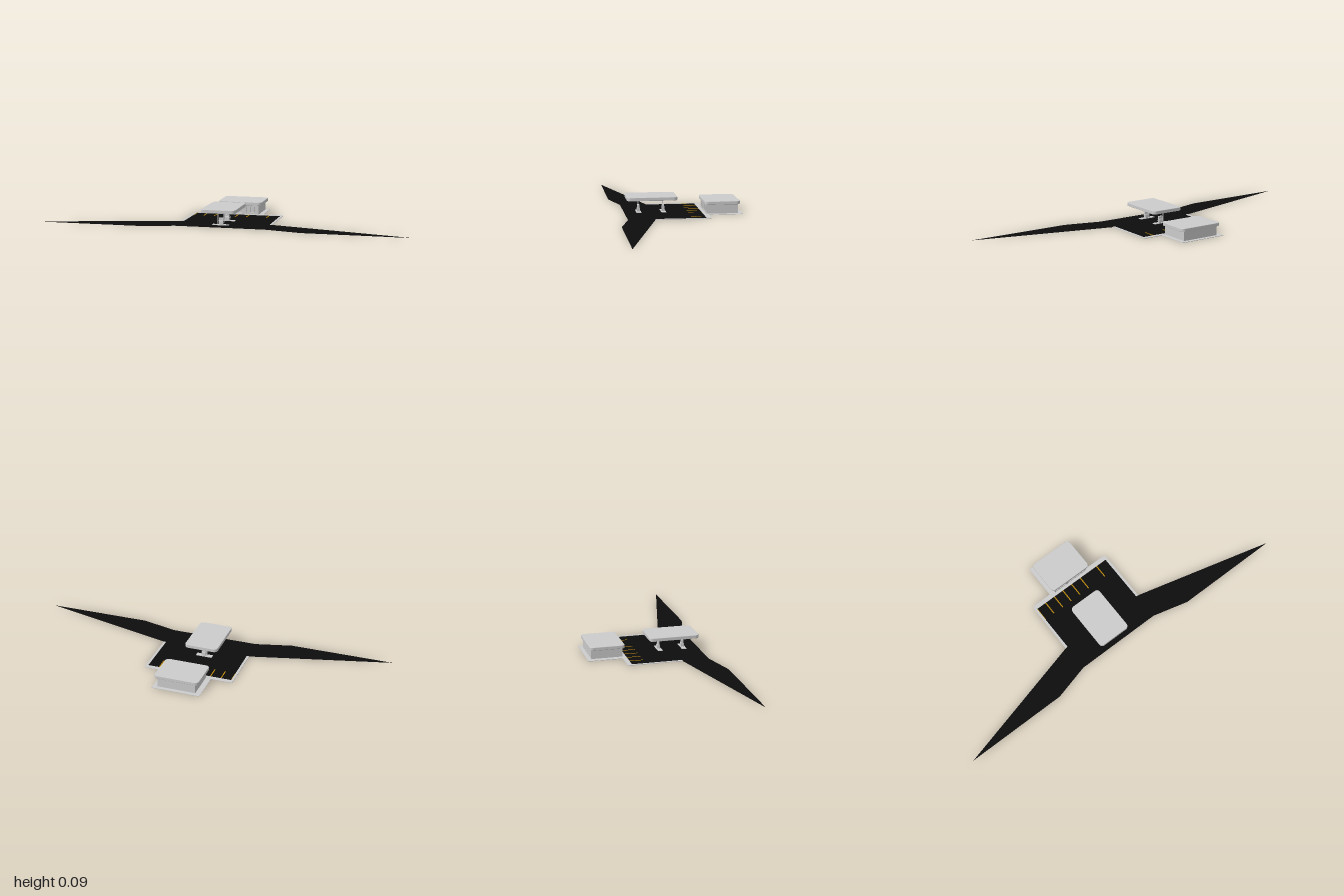
import * as THREE from 'three';

const mat = (color = 0xcccccc) => new THREE.MeshStandardMaterial({ color, side: THREE.DoubleSide });

export function createModel() {
  const root = new THREE.Group();
  const grey = mat(), black = mat(0x0d0d0d), yellow = mat(0xb8860b);

  const add = (parent, name, geometry, material = grey) => {
    const mesh = new THREE.Mesh(geometry, material);
    mesh.name = name;
    parent.add(mesh);
    return mesh;
  };
  // Box given by its limits on each axis
  const box = (parent, name, x0, x1, y0, y1, z0, z1, material) => {
    const mesh = add(parent, name, new THREE.BoxGeometry(x1 - x0, y1 - y0, z1 - z0), material);
    mesh.position.set((x0 + x1) / 2, (y0 + y1) / 2, (z0 + z1) / 2);
    return mesh;
  };
  // Plan outline in (x, z), laid flat so that shape y becomes -z
  const plan = (points) => new THREE.Shape(points.map(([x, z]) => new THREE.Vector2(x, -z)));
  const group = (name) => {
    const g = new THREE.Group();
    g.name = name;
    root.add(g);
    return g;
  };

  // Flat roof with rounded corners and softly bevelled rims
  const roof = (parent, name, x0, x1, y0, y1, z0, z1, r) => {
    const b = 0.002, s = new THREE.Shape();
    const l = x0 + b, t = x1 - b, d = -z1 + b, u = -z0 - b;
    s.moveTo(l + r, d);
    s.lineTo(t - r, d).absarc(t - r, d + r, r, -Math.PI / 2, 0);
    s.lineTo(t, u - r).absarc(t - r, u - r, r, 0, Math.PI / 2);
    s.lineTo(l + r, u).absarc(l + r, u - r, r, Math.PI / 2, Math.PI);
    s.lineTo(l, d + r).absarc(l + r, d + r, r, Math.PI, Math.PI * 1.5);
    const g = new THREE.ExtrudeGeometry(s, {
      depth: y1 - y0 - 2 * b, bevelThickness: b, bevelSize: b, bevelSegments: 2, curveSegments: 6,
    });
    g.rotateX(-Math.PI / 2).translate(0, y0 + b, 0);
    return add(parent, name, g);
  };

  // Forecourt with its two tapering access lanes
  const half = [[0.24, 0.285], [0.435, 0.335], [1, 0.335], [0.24, 0.14], [0.24, -0.135]];
  const outline = [...half, ...half.map(([x, z]) => [-x, z]).reverse()];
  const forecourt = new THREE.ShapeGeometry(plan(outline));
  forecourt.rotateX(-Math.PI / 2);
  add(root, 'forecourt', forecourt, black).position.y = 0.0005;

  // Kerb around the sides and back, with clipped outer corners
  const kerbHalf = [[0.235, 0.14], [0.248, 0.143], [0.248, -0.143], [0.245, -0.151], [0.237, -0.155]];
  const kerbShape = plan([
    [0.235, -0.13], ...kerbHalf,
    ...kerbHalf.map(([x, z]) => [-x, z]).reverse(), [-0.235, -0.13],
  ]);
  const kerb = new THREE.ExtrudeGeometry(kerbShape, { depth: 0.0025, bevelEnabled: false });
  kerb.rotateX(-Math.PI / 2);
  add(root, 'kerb', kerb);

  // Parking bay lines
  for (const x of [-0.235, -0.177, -0.118, -0.06, 0, 0.06, 0.172]) {
    box(root, 'parkingLine', x - 0.003, x + 0.003, 0.0005, 0.0012, -0.132, -0.055, yellow);
  }

  // Shop: slab, walls, recessed glazing and roof
  const shop = group('shop');
  box(shop, 'shopSlab', -0.13, 0.135, 0, 0.002, -0.34, -0.15);
  box(shop, 'backWall', -0.1, 0.11, 0.002, 0.053, -0.318, -0.312);
  box(shop, 'leftWall', 0.104, 0.11, 0.002, 0.053, -0.312, -0.147);
  box(shop, 'rightWall', -0.1, -0.094, 0.002, 0.053, -0.312, -0.147);
  box(shop, 'frontSill', -0.094, 0.104, 0.002, 0.01, -0.153, -0.147);
  box(shop, 'frontHeader', -0.094, 0.104, 0.043, 0.053, -0.153, -0.147);
  box(shop, 'glazing', -0.094, 0.104, 0.002, 0.053, -0.156, -0.154);
  for (let i = 1; i < 9; i++) {
    const x = -0.094 + i * 0.022;
    box(shop, 'mullion', x - 0.0015, x + 0.0015, 0.01, 0.043, -0.154, -0.147);
  }
  box(shop, 'door', -0.027, -0.008, 0.002, 0.041, -0.153, -0.146);
  const handle = add(shop, 'doorHandle', new THREE.CylinderGeometry(0.0007, 0.0007, 0.01, 8));
  handle.position.set(-0.011, 0.021, -0.145);
  roof(shop, 'shopRoof', -0.118, 0.127, 0.052, 0.07, -0.327, -0.137, 0.018);

  // Canopy over the two pump islands
  const canopy = group('canopy');
  roof(canopy, 'canopyRoof', -0.108, 0.076, 0.071, 0.09, 0.003, 0.274, 0.018);

  // Pump silhouette, (z, y): wide foot, slim waist and narrower head
  const profile = [[-0.008, 0.004], [0.008, 0.004], [0.0075, 0.02], [0.005, 0.026],
    [0.005, 0.039], [-0.005, 0.039], [-0.005, 0.026], [-0.0075, 0.02]];
  for (const z of [0.072, 0.206]) {
    const island = group('pumpIsland');
    island.position.z = z;
    box(island, 'islandBase', -0.06, 0.03, 0, 0.003, -0.013, 0.013);
    const post = add(island, 'canopyPost', new THREE.CylinderGeometry(0.003, 0.003, 0.07, 12));
    post.position.set(-0.03, 0.037, 0);
    const body = new THREE.ExtrudeGeometry(
      new THREE.Shape(profile.map(([a, b]) => new THREE.Vector2(a, b))),
      { depth: 0.022, bevelEnabled: false });
    body.rotateY(Math.PI / 2).translate(-0.024, 0, 0);
    add(island, 'pump', body);
    box(island, 'pumpFoot', -0.027, 0.001, 0.003, 0.005, -0.009, 0.009);
    for (const side of [-1, 1]) {
      box(island, 'pumpScreen', -0.019, -0.007, 0.029, 0.036, side * 0.0055 - 0.0007, side * 0.0055 + 0.0007);
      // Hose looping beside the pump
      const hose = new THREE.CatmullRomCurve3([
        [-0.003, 0.032, 0.004], [0.001, 0.026, 0.006], [0.001, 0.012, 0.007], [-0.003, 0.018, 0.008],
      ].map(([x, y, d]) => new THREE.Vector3(x, y, d * side)));
      add(island, 'hose', new THREE.TubeGeometry(hose, 16, 0.0006, 6));
    }
  }

  return root;
}
